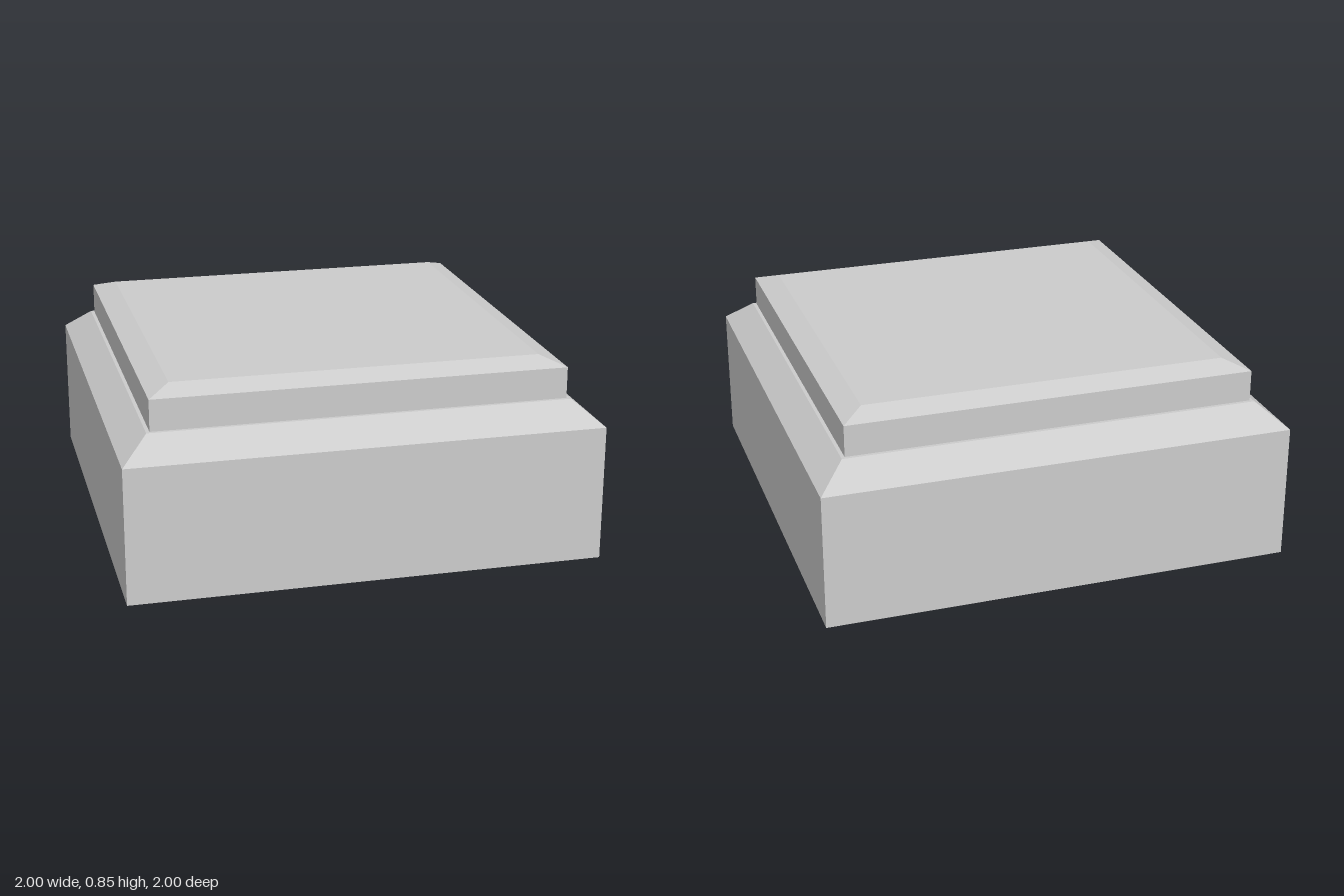
import * as THREE from 'three';

const material = new THREE.MeshStandardMaterial({ color: 0xcccccc, flatShading: true });

// Square turned solid: profile is a list of [half width, height], bottom to top.
function squareProfile(name, profile) {
  const points = profile.map(([half, y]) => new THREE.Vector2(half * Math.SQRT2, y));
  const geometry = new THREE.LatheGeometry(points, 4, Math.PI / 4).toNonIndexed();
  geometry.computeVertexNormals();
  const mesh = new THREE.Mesh(geometry, material);
  mesh.name = name;
  return mesh;
}

export function createModel() {
  const model = new THREE.Group();
  model.name = 'squarePlinth';

  // Housing with a sloped shoulder and a narrow ledge around the cap
  model.add(squareProfile('base', [[0, 0], [1, 0], [1, 0.58], [0.885, 0.677], [0.87, 0.677]]));

  // Raised cap with a shallow bevel around its flat top
  model.add(squareProfile('cap', [[0.87, 0.677], [0.87, 0.81], [0.775, 0.845], [0, 0.845]]));

  return model;
}
